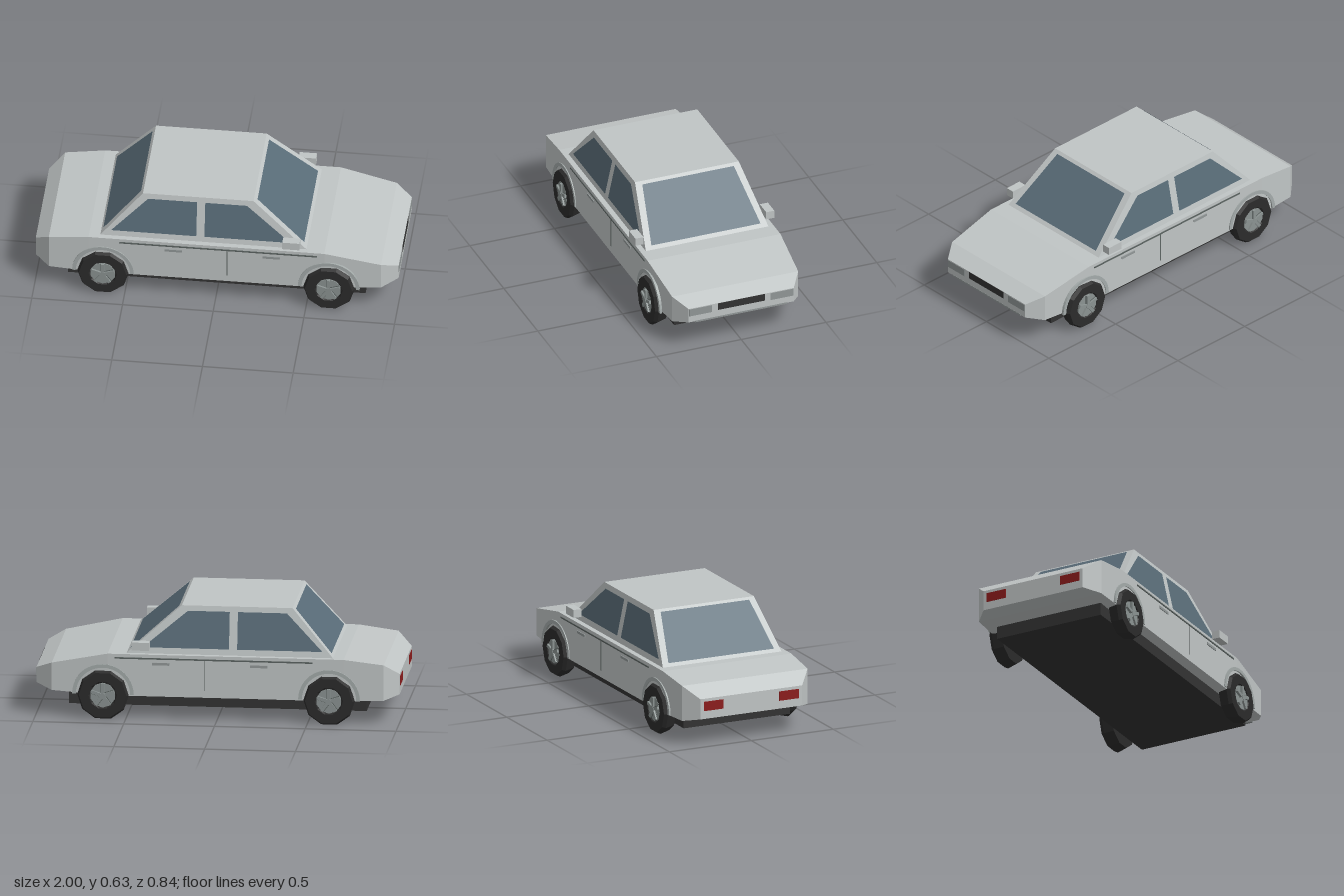
import * as THREE from 'three';

const mat = (name, color, side = THREE.FrontSide) => {
  const m = new THREE.MeshStandardMaterial({ color, side });
  m.name = name;
  return m;
};

export function createModel() {
  const car = new THREE.Group();
  car.name = 'car';
  const paint = mat('silver paint', 0xc0c5c5);
  const archPaint = mat('arch grey', 0xa4abaa);
  const glass = mat('tinted glass', 0x596c78, THREE.DoubleSide);
  const black = mat('black plastic', 0x333333);
  const rubber = mat('tyre rubber', 0x2b2b2b);
  const alloy = mat('wheel alloy', 0x8b9392);
  const lamp = mat('headlight grey', 0x929898);
  const red = mat('tail light red', 0x8c1c1c);
  const trim = mat('trim grey', 0x5c6462);

  const add = (name, geometry, material, parent = car) => {
    const mesh = new THREE.Mesh(geometry, material);
    mesh.name = name;
    parent.add(mesh);
    return mesh;
  };
  const flat = (g) => {
    const f = g.index ? g.toNonIndexed() : g;
    f.computeVertexNormals();
    return f;
  };
  // box from its minimum and maximum corners
  const box = (name, x0, x1, y0, y1, z0, z1, material, parent = car) => {
    const m = add(name, new THREE.BoxGeometry(x1 - x0, y1 - y0, z1 - z0), material, parent);
    m.position.set((x0 + x1) / 2, (y0 + y1) / 2, (z0 + z1) / 2);
    return m;
  };
  // closed flat-shaded skin over four-cornered rings
  const loft = (rings) => {
    const pos = [];
    const quad = (a, b, c, d) => pos.push(...a, ...b, ...c, ...a, ...c, ...d);
    for (let s = 0; s < rings.length - 1; s++) {
      const A = rings[s], B = rings[s + 1];
      for (let i = 0; i < 4; i++) quad(A[i], B[i], B[(i + 1) % 4], A[(i + 1) % 4]);
    }
    quad(...rings[0]);
    quad(...[...rings[rings.length - 1]].reverse());
    const g = new THREE.BufferGeometry();
    g.setAttribute('position', new THREE.Float32BufferAttribute(pos, 3));
    g.computeVertexNormals();
    return g;
  };

  // lower body: x, bottom, top, half width
  const stations = [
    [-1, 0.16, 0.275, 0.31], [-0.92, 0.14, 0.34, 0.383], [-0.7, 0.132, 0.367, 0.392],
    [0.6, 0.132, 0.367, 0.392], [0.91, 0.148, 0.303, 0.372], [1, 0.175, 0.26, 0.31],
  ];
  add('body', loft(stations.map(([x, b, t, w]) => [[x, t, w], [x, t, -w], [x, b, -w], [x, b, w]])), paint);

  // cabin
  const level = (y, x0, x1, w) => [[x1, y, w], [x0, y, w], [x0, y, -w], [x1, y, -w]];
  add('cabin', loft([level(0.365, -0.64, 0.5, 0.362), level(0.63, -0.41, 0.2, 0.306)]), paint);

  // glass panes laid on the sloping cabin walls
  const pane = (name, points, place) => {
    const g = new THREE.ShapeGeometry(new THREE.Shape(points.map((p) => new THREE.Vector2(...p))));
    const p = g.attributes.position;
    for (let i = 0; i < p.count; i++) p.setXYZ(i, ...place(p.getX(i), p.getY(i)));
    add(name, flat(g), glass);
  };
  const rise = (y) => (y - 0.365) / 0.265;
  const screen = [[-0.322, 0.385], [0.322, 0.385], [0.27, 0.618], [-0.27, 0.618]];
  pane('windshield', screen, (z, y) => [0.504 - 0.3 * rise(y), y, z]);
  pane('rearWindow', screen, (z, y) => [-0.644 + 0.23 * rise(y), y, z]);
  const rearSide = [[-0.58, 0.4], [-0.11, 0.4], [-0.11, 0.602], [-0.38, 0.602]];
  const frontSide = [[-0.065, 0.4], [0.41, 0.4], [0.165, 0.602], [-0.065, 0.602]];

  // wheel arch flare
  const archShape = new THREE.Shape();
  archShape.absarc(0, 0, 0.17, 0, Math.PI, false);
  archShape.absarc(0, 0, 0.15, Math.PI, 0, true);
  const archGeometry = new THREE.ExtrudeGeometry(archShape, { depth: 0.014, bevelEnabled: false, curveSegments: 10 });

  // wheel built facing +z
  const tyreProfile = [[0, -0.04], [0.128, -0.04], [0.142, 0.015], [0.131, 0.035], [0.078, 0.035], [0.072, 0.026], [0, 0.026]]
    .map((p) => new THREE.Vector2(...p));
  const tyre = flat(new THREE.LatheGeometry(tyreProfile, 10).rotateY(Math.PI / 10).rotateX(Math.PI / 2));
  const disc = (r, d) => flat(new THREE.CylinderGeometry(r, r, d, 10).rotateX(Math.PI / 2));
  const makeWheel = (name, x, side) => {
    const wheel = new THREE.Group();
    wheel.name = name;
    add('tyre', tyre, rubber, wheel);
    add('rim', disc(0.07, 0.01), alloy, wheel).position.z = 0.027;
    add('hub', disc(0.016, 0.016), alloy, wheel).position.z = 0.037;
    for (let i = 0; i < 5; i++) {
      const arm = new THREE.Group();
      arm.name = 'spoke';
      arm.rotation.z = (i * Math.PI * 2) / 5;
      box('spokeBar', -0.009, 0.009, 0.008, 0.066, 0.03, 0.043, alloy, arm);
      box('spokeGroove', -0.013, -0.009, 0.012, 0.066, 0.03, 0.034, trim, arm);
      wheel.add(arm);
    }
    wheel.position.set(x, 0.135, side * 0.375);
    if (side < 0) wheel.rotation.y = Math.PI;
    car.add(wheel);
  };

  // everything that repeats on both flanks
  for (const side of [1, -1]) {
    const flank = (name, x0, x1, y0, y1, z0, z1, m) =>
      box(name, x0, x1, y0, y1, Math.min(side * z0, side * z1), Math.max(side * z0, side * z1), m);
    const onSide = (x, y) => [x, y, side * (0.366 - 0.056 * rise(y))];
    pane('rearSideWindow', rearSide, onSide);
    pane('frontSideWindow', frontSide, onSide);
    for (const [name, x] of [['frontWheel', 0.625], ['rearWheel', -0.62]]) {
      makeWheel(name, x, side);
      add(name + 'Arch', archGeometry, archPaint).position.set(x, 0.138, side > 0 ? 0.384 : -0.398);
    }
    flank('mirror', 0.37, 0.465, 0.393, 0.438, 0.362, 0.41, paint);
    flank('sideTrim', -0.53, 0.56, 0.341, 0.349, 0.388, 0.396, trim);
    flank('doorSeam', 0.062, 0.067, 0.17, 0.341, 0.388, 0.394, trim);
    flank('rearDoorHandle', -0.28, -0.185, 0.309, 0.323, 0.388, 0.397, lamp);
    flank('frontDoorHandle', 0.26, 0.355, 0.309, 0.323, 0.388, 0.397, lamp);
    flank('headlight', 0.996, 1.002, 0.213, 0.256, 0.173, 0.307, lamp);
    flank('tailLight', -1.002, -0.996, 0.205, 0.258, 0.17, 0.29, red);
  }

  // nose details and underbody
  box('grille', 0.996, 1.002, 0.218, 0.259, -0.138, 0.138, black);
  box('bumperStrip', 0.985, 1.001, 0.168, 0.178, -0.27, 0.27, lamp);
  box('underbody', -0.82, 0.82, 0.064, 0.142, -0.324, 0.324, black);
  return car;
}
